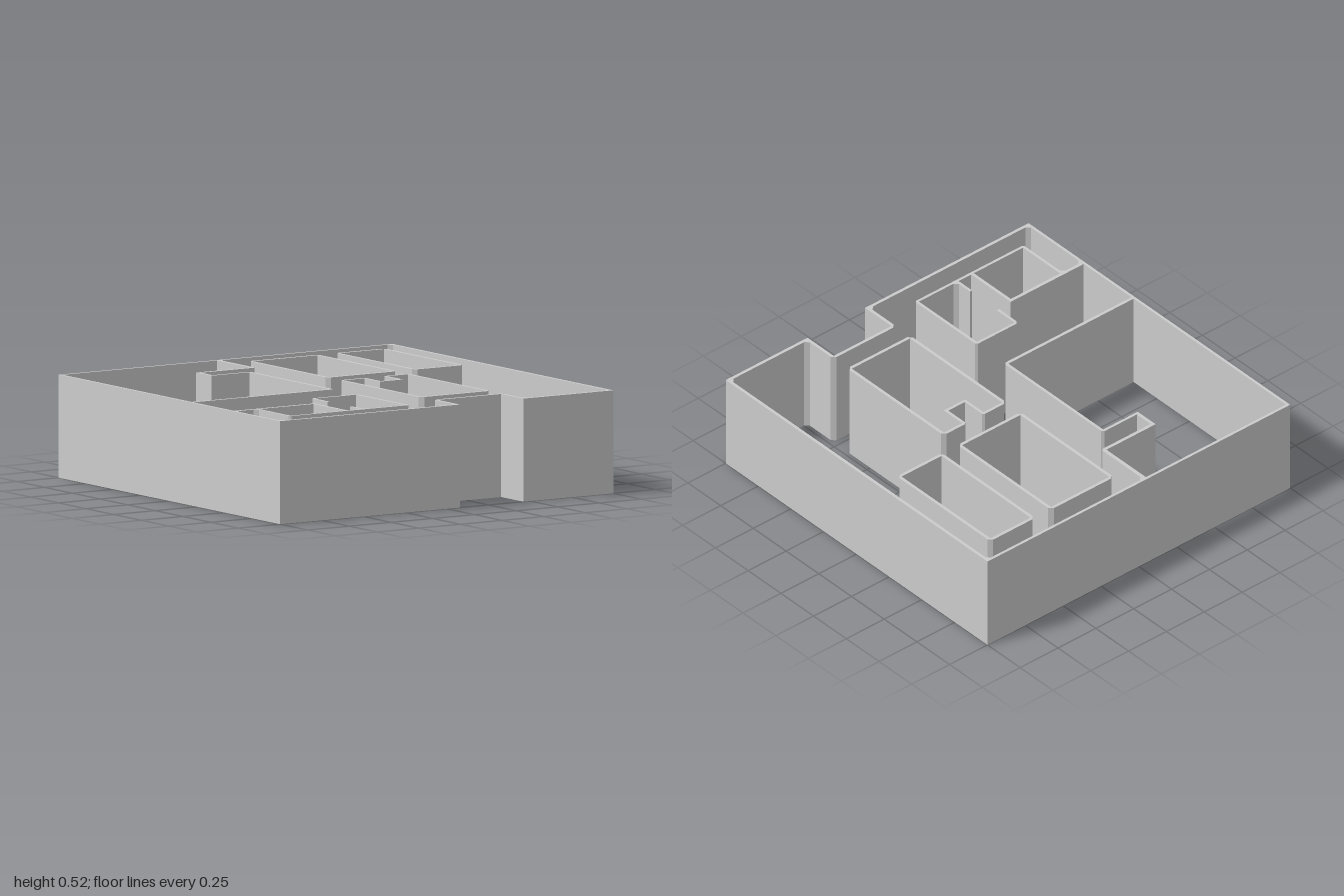
import * as THREE from 'three';

const H = 0.52;   // wall height
const C = 0.02;   // corner chamfer

const material = new THREE.MeshStandardMaterial({ color: 0xcccccc, flatShading: true });

// Plan points are [x, z] or [x, z, chamfer]; a chamfered corner becomes two points.
function outline(points) {
  const n = points.length, out = [];
  points.forEach(([x, z, c], i) => {
    const p = new THREE.Vector2(x, -z);
    if (!c) return out.push(p);
    for (const q of [points[(i + n - 1) % n], points[(i + 1) % n]]) {
      const dir = new THREE.Vector2(q[0], -q[1]).sub(p).normalize();
      out.push(p.clone().addScaledVector(dir, c));
    }
  });
  return out;
}

const rect = (x0, x1, z0, z1, c) => [[x0, z0, c], [x1, z0, c], [x1, z1, c], [x0, z1, c]];

// Extrudes a plan with its rooms cut out up to wall height.
// Rooms run opposite to the outline so their wall faces look into the room.
function walls(name, plan, rooms) {
  const shape = new THREE.Shape(outline(plan));
  shape.holes = rooms.map((r) => new THREE.Path(outline(r).reverse()));
  const geo = new THREE.ExtrudeGeometry(shape, { depth: H, bevelEnabled: false });
  geo.rotateX(-Math.PI / 2);
  const mesh = new THREE.Mesh(geo, material);
  mesh.name = name;
  return mesh;
}

export function createModel() {
  const group = new THREE.Group();
  group.name = 'floorPlanWalls';

  // Outer shell, with a recess in the front
  const shell = [[-1, -1], [1, -1], [1, 1], [0.46, 1], [0.46, 0.8], [0.08, 0.8], [0.08, 1], [-1, 1]];

  const largeRoom = [
    [-0.985, -0.985], [-0.06, -0.985], [-0.06, -0.683], [-0.385, -0.683],
    [-0.385, -0.545], [-0.158, -0.545], [-0.158, 0.18], [-0.985, 0.18],
  ];

  // Corridor running round the blocks and the two small rooms at the front left
  const corridor = [
    [-0.04, -0.985, C], [0.983, -0.985, C], [0.983, 0.983, C], [0.477, 0.983, C],
    [0.477, 0.783, C], [0.062, 0.783, C], [0.062, 0.983, C], [-0.985, 0.983, C],
    [-0.985, 0.58, C], [-0.86, 0.58, C], [-0.86, 0.878, 0.01], [-0.142, 0.878, 0.01],
    [-0.142, 0.405, 0.01], [-0.42, 0.405, 0.015], [-0.42, 0.555], [-0.405, 0.555],
    [-0.405, 0.42], [-0.158, 0.42], [-0.158, 0.863], [-0.405, 0.863, C],
    [-0.405, 0.76], [-0.42, 0.76], [-0.42, 0.863], [-0.503, 0.863],
    [-0.503, 0.562], [-0.985, 0.562], [-0.985, 0.197], [-0.142, 0.197, 0.012],
    [-0.142, -0.56, 0.012], [-0.367, -0.56], [-0.367, -0.665], [-0.04, -0.665, 0.012],
  ];

  const smallRoom = rect(-0.845, -0.52, 0.58, 0.863);
  group.add(walls('outerWalls', shell, [largeRoom, corridor, smallRoom]));

  // Free-standing blocks
  group.add(walls('backBlock', rect(0.06, 0.478, -0.88, -0.166, C), [rect(0.077, 0.461, -0.863, -0.183)]));
  group.add(walls('narrowBlock', rect(0.58, 0.878, -0.88, -0.166, C), [rect(0.597, 0.861, -0.863, -0.183)]));
  group.add(walls('notchedBlock',
    [[0.06, -0.06, C], [0.215, -0.06, 0.01], [0.215, 0.08], [0.325, 0.08], [0.325, -0.06, 0.01],
      [0.478, -0.06, C], [0.478, 0.677, C], [0.06, 0.677, C]],
    [[[0.077, -0.044], [0.2, -0.044], [0.2, 0.096], [0.341, 0.096], [0.341, -0.044],
      [0.461, -0.044], [0.461, 0.66], [0.077, 0.66]]]));

  // Low projections at the foot of the notched block's wall: x0, x1, z0, z1
  const stubHeight = 0.03;
  [[0.07, 0.097, 0.08, 0.115], [0.07, 0.097, 0.257, 0.293], [0.05, 0.065, 0.36, 0.435],
    [0.07, 0.097, 0.48, 0.497], [0.07, 0.135, 0.497, 0.555]].forEach(([x0, x1, z0, z1], i) => {
    const stub = new THREE.Mesh(new THREE.BoxGeometry(x1 - x0, stubHeight, z1 - z0), material);
    stub.position.set((x0 + x1) / 2, stubHeight / 2, (z0 + z1) / 2);
    stub.name = `wallStub${i + 1}`;
    group.add(stub);
  });

  return group;
}
